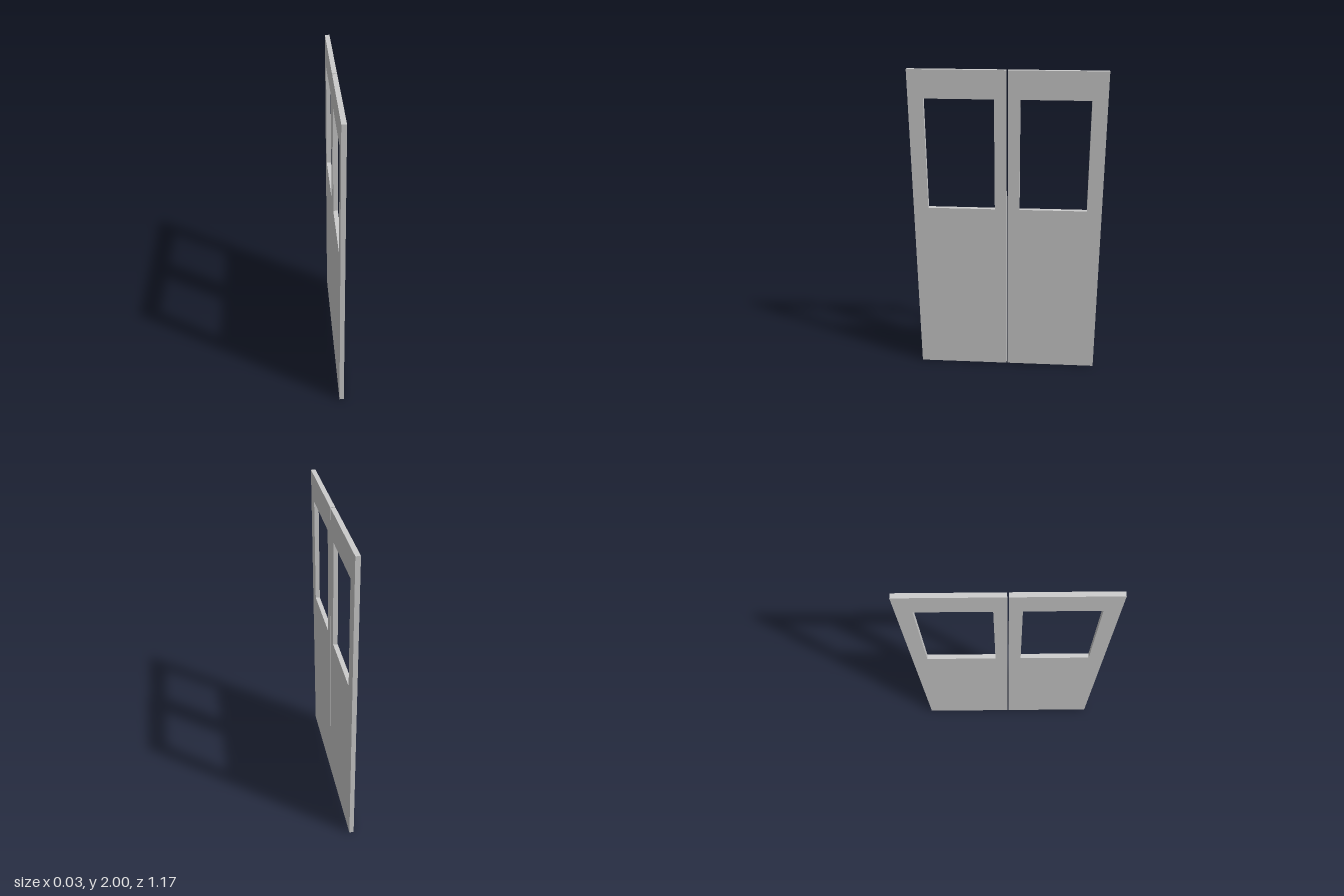
import * as THREE from 'three';

const HEIGHT = 2, THICKNESS = 0.028;
const INNER = 0.004, OUTER = 0.587; // leaf edges, measured from the centre gap
const WINDOW = { inner: 0.077, outer: 0.495, bottom: 1.14, top: 1.83 };

// Closed rectangle as a list of corners
function rect(x0, y0, x1, y1) {
  return [[x0, y0], [x1, y0], [x1, y1], [x0, y1]].map(([x, y]) => new THREE.Vector2(x, y));
}

export function createModel() {
  const group = new THREE.Group();
  group.name = 'doubleDoor';
  const material = new THREE.MeshStandardMaterial({ color: 0xcccccc });

  // One door leaf with a rectangular window opening
  const shape = new THREE.Shape(rect(INNER, 0, OUTER, HEIGHT));
  shape.holes.push(new THREE.Path(rect(WINDOW.inner, WINDOW.bottom, WINDOW.outer, WINDOW.top)));
  const leaf = new THREE.ExtrudeGeometry(shape, { depth: THICKNESS, bevelEnabled: false });
  leaf.translate(0, 0, -THICKNESS / 2);

  // Two leaves side by side along z, turned away from the centre gap
  for (const [name, side] of [['frontDoorLeaf', 1], ['backDoorLeaf', -1]]) {
    const mesh = new THREE.Mesh(leaf, material);
    mesh.name = name;
    mesh.rotation.y = -side * Math.PI / 2;
    group.add(mesh);
  }
  return group;
}
